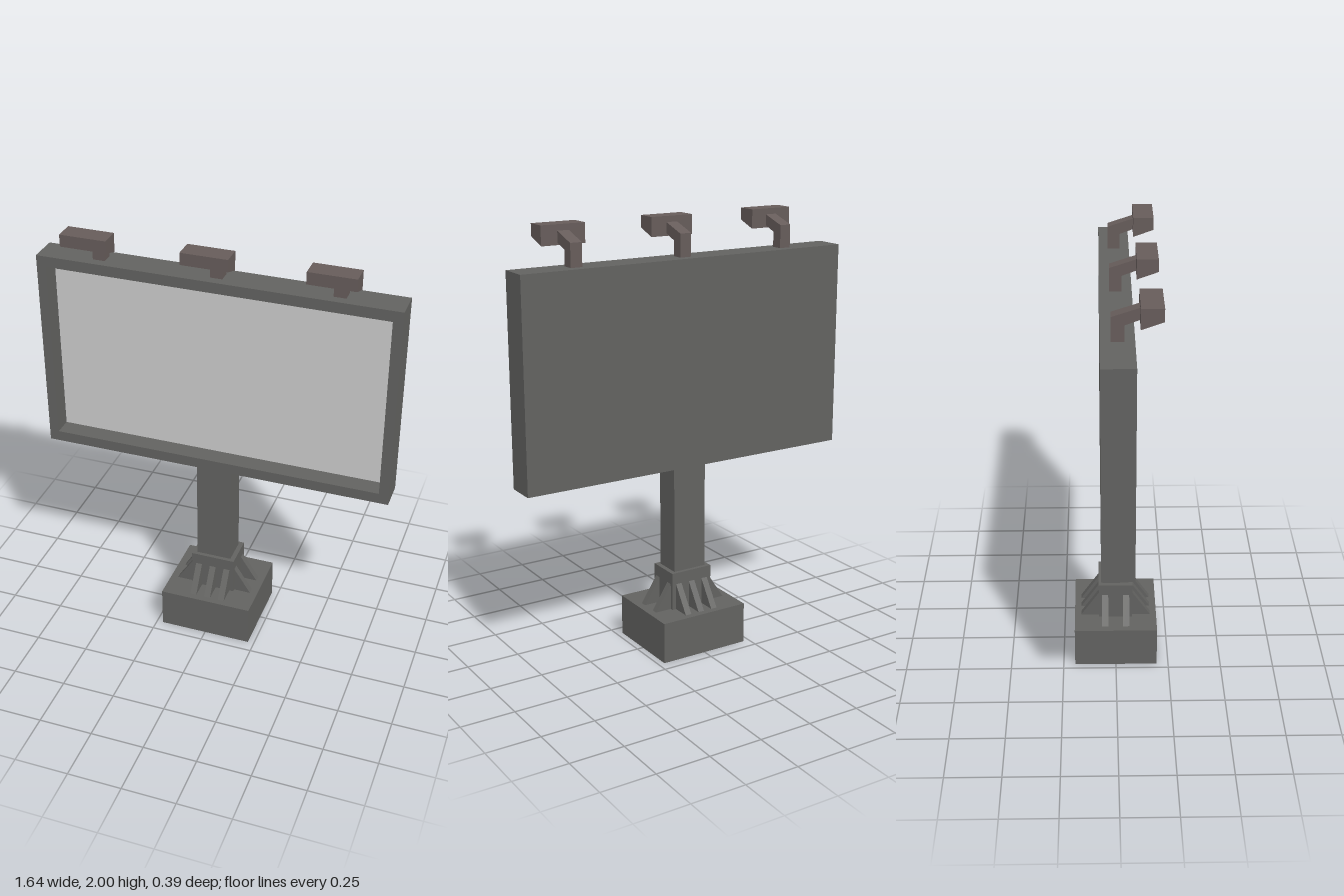
import * as THREE from 'three';

const darkMetal = new THREE.MeshStandardMaterial({ color: 0x626260, flatShading: true });
const lampMetal = new THREE.MeshStandardMaterial({ color: 0x665c5a, flatShading: true });
const panelGrey = new THREE.MeshStandardMaterial({ color: 0xcccccc, flatShading: true });

// Box given by its limits on each axis
function box(name, [x0, x1], [y0, y1], [z0, z1], material) {
  const mesh = new THREE.Mesh(new THREE.BoxGeometry(x1 - x0, y1 - y0, z1 - z0), material);
  mesh.position.set((x0 + x1) / 2, (y0 + y1) / 2, (z0 + z1) / 2);
  mesh.name = name;
  return mesh;
}

// Side outline of [z, y] points, extruded to a width centred on x = 0
function sideProfile(name, points, width, material) {
  const shape = new THREE.Shape(points.map(([z, y]) => new THREE.Vector2(-z, y)));
  const geometry = new THREE.ExtrudeGeometry(shape, { depth: width, bevelEnabled: false });
  geometry.translate(0, 0, -width / 2).rotateY(Math.PI / 2);
  const mesh = new THREE.Mesh(geometry, material);
  mesh.name = name;
  return mesh;
}

function rectPath(path, x, y0, y1) {
  path.moveTo(-x, y0);
  path.lineTo(x, y0);
  path.lineTo(x, y1);
  path.lineTo(-x, y1);
  path.closePath();
  return path;
}

function createBoard() {
  const board = new THREE.Group();
  board.name = 'board';

  // Frame with a deep rectangular opening
  const outline = rectPath(new THREE.Shape(), 0.82, 0.875, 1.83);
  outline.holes.push(rectPath(new THREE.Path(), 0.775, 0.925, 1.78));
  const frame = new THREE.Mesh(
    new THREE.ExtrudeGeometry(outline, { depth: 0.09, bevelEnabled: false }), darkMetal);
  frame.position.z = -0.02;
  frame.name = 'frame';

  // Closed back and recessed display surface
  const back = box('backPanel', [-0.82, 0.82], [0.875, 1.83], [-0.07, -0.02], darkMetal);
  const display = box('displayPanel', [-0.775, 0.775], [0.925, 1.78], [-0.03, -0.017], panelGrey);
  board.add(frame, back, display);
  return board;
}

function createLamp(x) {
  const lamp = new THREE.Group();
  lamp.name = 'lamp';
  lamp.position.x = x;
  // Bent arm reaching forward over the board
  lamp.add(sideProfile('lampArm', [
    [-0.027, 1.82], [0.027, 1.82], [0.027, 1.9], [0.095, 1.925],
    [0.095, 1.975], [-0.027, 1.935],
  ].map(([z, y]) => [z, y]), 0.055, lampMetal));
  // Head with a sloping underside
  lamp.add(sideProfile('lampHead', [
    [0.088, 1.912], [0.18, 1.945], [0.18, 2], [0.088, 2],
  ], 0.21, lampMetal));
  return lamp;
}

// Triangular fin leaning on the collar; faces +z before its turn
function createGusset(angle, reach, foot, offset) {
  const holder = new THREE.Group();
  holder.name = 'gusset';
  const fin = sideProfile('gussetFin', [
    [reach - 0.01, 0.19], [foot, 0.195], [reach, 0.32], [reach - 0.01, 0.32],
  ], 0.03, darkMetal);
  fin.position.x = offset;
  holder.add(fin);
  holder.rotation.y = angle;
  return holder;
}

export function createModel() {
  const model = new THREE.Group();
  model.name = 'billboard';

  // Footing, collar and post
  model.add(
    box('base', [-0.22, 0.22], [0, 0.195], [-0.195, 0.195], darkMetal),
    box('collar', [-0.105, 0.105], [0.19, 0.375], [-0.08, 0.08], darkMetal),
    box('post', [-0.083, 0.083], [0.37, 0.88], [-0.062, 0.062], darkMetal),
  );

  // Three fins on the front and back, two on each side
  for (const turn of [0, Math.PI]) {
    for (const offset of [-0.07, 0, 0.07]) model.add(createGusset(turn, 0.08, 0.165, offset));
    for (const offset of [-0.05, 0.05]) {
      model.add(createGusset(turn + Math.PI / 2, 0.105, 0.185, offset));
    }
  }

  model.add(createBoard());
  for (const x of [-0.54, 0, 0.54]) model.add(createLamp(x));
  return model;
}
